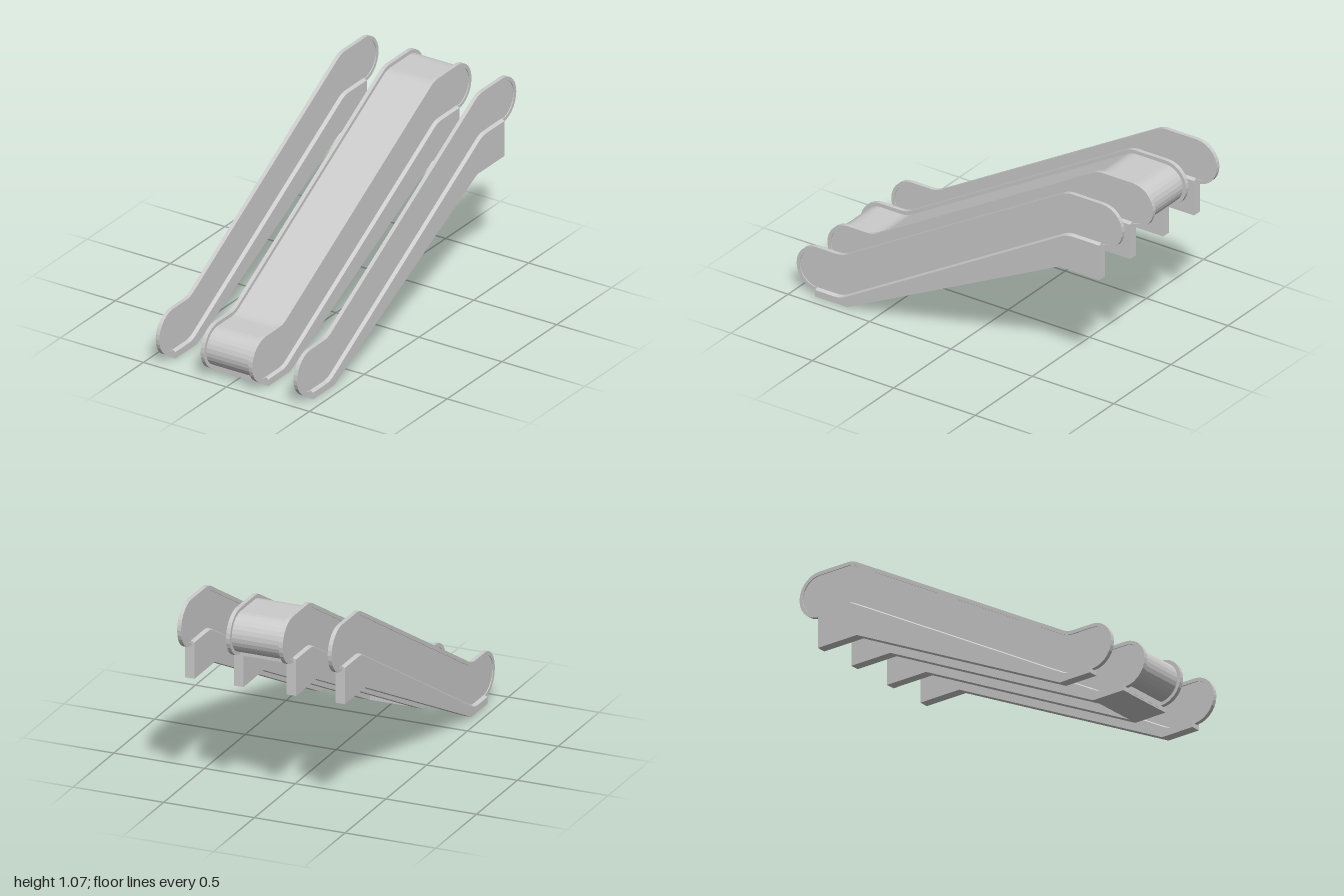
import * as THREE from 'three';

const material = new THREE.MeshStandardMaterial({ color: 0xcccccc, side: THREE.DoubleSide });
const V = (z, y) => new THREE.Vector2(z, y);

// Points of a half circle in the side plane (z, y)
function halfCircle(cz, cy, r, start) {
  return Array.from({ length: 15 }, (_, i) => {
    const a = start + (i / 14) * Math.PI;
    return V(cz + r * Math.cos(a), cy + r * Math.sin(a));
  });
}

// Softened bend at point k between neighbours a and b
function bend(a, k, b, size = 0.035) {
  const p = k.clone().add(a.clone().sub(k).setLength(size));
  const q = k.clone().add(b.clone().sub(k).setLength(size));
  return new THREE.QuadraticBezierCurve(p, k, q).getPoints(4);
}

// Handrail line from the lower end over the slope to the upper end, inset by d
function railLine(d) {
  const r = 0.125 - d;
  const low = V(0.72 - 0.27 * d, 0.275 - d);
  const high = V(-0.66 - 0.27 * d, 1.07 - d);
  return [
    ...halfCircle(0.875, 0.15, r, -Math.PI / 2),
    ...bend(V(0.875, low.y), low, high),
    ...bend(low, high, V(-0.875, high.y)),
    ...halfCircle(-0.875, 0.945, r, Math.PI / 2),
  ];
}

// Top line of the skirt from the upper to the lower end, lowered by d
function skirtLine(d) {
  const a = V(-0.87, 0.845 - d), b = V(-0.67, 0.845 - d);
  const c = V(0.72, 0.045 - d), e = V(0.875, 0.045 - d);
  return [a, ...bend(a, b, c), ...bend(b, c, e), e];
}

// Extrude a side profile across x, centred on x = 0
function across(points, width, steps = 1) {
  return new THREE.ExtrudeGeometry(new THREE.Shape(points), { depth: width, steps, bevelEnabled: false })
    .translate(0, 0, -width / 2)
    .rotateY(-Math.PI / 2);
}

function skirtGeometry() {
  const profile = [...skirtLine(0), V(0.875, 0), V(0.68, 0), V(-0.62, 0.64), V(-0.87, 0.64)];
  const geo = across(profile, 0.052, 3);
  const pos = geo.attributes.position;
  // Slope the outer strips of the top face down a little
  for (let i = 0; i < pos.count; i++) {
    const top = THREE.MathUtils.clamp(0.045 + (0.72 - pos.getZ(i)) * 0.5755, 0.045, 0.845);
    if (Math.abs(pos.getX(i)) > 0.02 && Math.abs(pos.getY(i) - top) < 0.02) {
      pos.setY(i, pos.getY(i) - 0.008);
    }
  }
  geo.computeVertexNormals();
  return geo;
}

function add(parent, name, geometry) {
  const mesh = new THREE.Mesh(geometry, material);
  mesh.name = name;
  parent.add(mesh);
  return mesh;
}

export function createModel() {
  const model = new THREE.Group();
  model.name = 'escalatorPair';

  // Four balustrades: handrail band, side panel and skirt
  const rail = across([...railLine(0), ...railLine(0.02).reverse()], 0.022);
  const body = [...railLine(0.02), ...skirtLine(0.004)];
  const panel = across(body, 0.012);
  const skirt = skirtGeometry();
  for (const [name, x] of [
    ['leftOuter', 0.415], ['leftInner', 0.145], ['rightInner', -0.145], ['rightOuter', -0.415],
  ]) {
    const side = new THREE.Group();
    side.name = name + 'Balustrade';
    side.position.x = x;
    add(side, 'handrail', rail);
    add(side, 'panel', panel);
    add(side, 'skirt', skirt);
    model.add(side);
  }

  // Rounded cover closing the space between the two inner balustrades
  add(model, 'centreCover', across(body, 0.28));

  // Deck under the cover and floor plate at its lower end
  add(model, 'centreDeck', across([...skirtLine(0.002), ...skirtLine(0.035).reverse()], 0.25));
  add(model, 'lowerFloorPlate', new THREE.BoxGeometry(0.25, 0.042, 0.193)).position.set(0, 0.021, 0.7775);

  return model;
}
